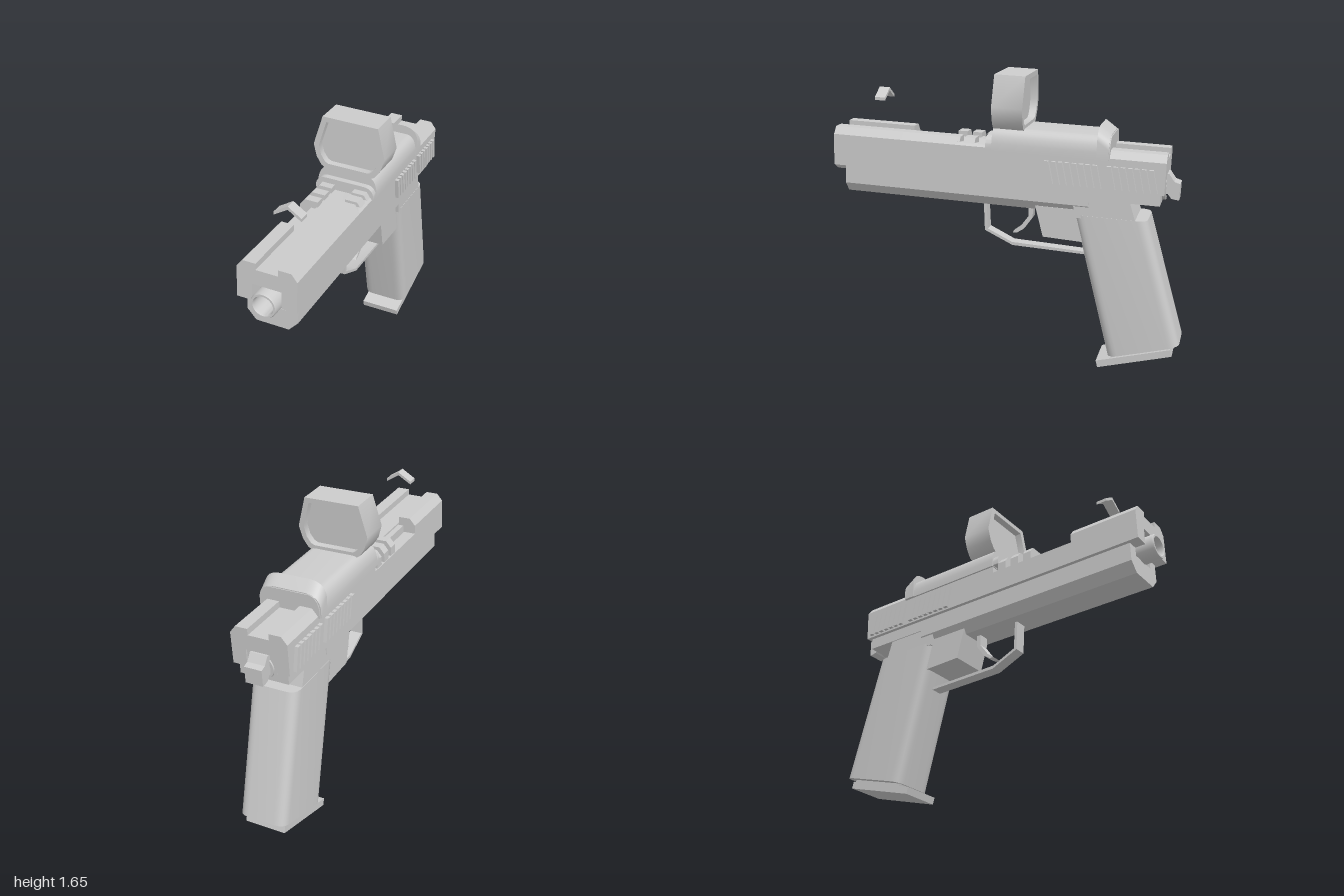
import * as THREE from 'three';
import { toCreasedNormals } from 'three/addons/utils/BufferGeometryUtils.js';

const material = new THREE.MeshStandardMaterial({ color: 0xcccccc });
const toShape = (pts) => new THREE.Shape(pts.map(([x, y]) => new THREE.Vector2(x, y)));
// right half of a symmetric outline, ordered bottom to top, mirrored into a closed one
const mirror = (half) => [...half, ...half.map(([x, y]) => [-x, y]).reverse()];

// cross-section (x, y) run along z from z0 to z1
function along(shape, z0, z1) {
  const s = Array.isArray(shape) ? toShape(shape) : shape;
  const g = new THREE.ExtrudeGeometry(s, { depth: z1 - z0, bevelEnabled: false, curveSegments: 8 });
  return g.translate(0, 0, z0);
}

// side profile (z, y) run across x from x0 to x1
function across(pts, x0, x1) {
  const g = new THREE.ExtrudeGeometry(toShape(pts), { depth: x1 - x0, bevelEnabled: false });
  return g.rotateY(-Math.PI / 2).translate(x1, 0, 0);
}

function roundedRect(hw, y0, y1, r) {
  const s = new THREE.Shape();
  s.moveTo(-hw + r, y0).lineTo(hw - r, y0).quadraticCurveTo(hw, y0, hw, y0 + r);
  s.lineTo(hw, y1 - r).quadraticCurveTo(hw, y1, hw - r, y1);
  s.lineTo(-hw + r, y1).quadraticCurveTo(-hw, y1, -hw, y1 - r);
  s.lineTo(-hw, y0 + r).quadraticCurveTo(-hw, y0, -hw + r, y0);
  return s;
}

function saddle(hw, bottom, shoulder, flat, top) {
  const s = new THREE.Shape();
  s.moveTo(-hw, bottom).lineTo(hw, bottom).lineTo(hw, shoulder);
  s.quadraticCurveTo(hw - 0.01, top, flat, top).lineTo(-flat, top);
  s.quadraticCurveTo(-hw + 0.01, top, -hw, shoulder).lineTo(-hw, bottom);
  return s;
}

export function createModel() {
  const model = new THREE.Group();
  const body = new THREE.Group();
  body.name = 'body';
  body.rotation.set(-0.045, 0.115, -0.025, 'YXZ');
  body.position.set(0.005, 1.2, 0);
  model.add(body);
  const add = (name, geometry) => {
    const mesh = new THREE.Mesh(toCreasedNormals(geometry, 0.6), material);
    mesh.name = name;
    body.add(mesh);
    return mesh;
  };

  // slide: grooved top, hollow underside, cut away on one side for the port
  const under = [[0.162, -0.125], [0.08, -0.125], [0.08, -0.03], [-0.08, -0.03], [-0.08, -0.125], [-0.162, -0.125]];
  const right = [[0.06, 0.055], [0.06, 0.09], [0.13, 0.09], [0.162, 0.05]];
  const left = [[-0.162, 0.05], [-0.13, 0.09], [-0.06, 0.09], [-0.06, 0.055]];
  const portLeft = [[-0.162, 0], [-0.06, 0], [-0.06, 0.055]];
  const lowRight = [[0.06, 0.055], [0.145, 0.066], [0.162, 0.05]];
  add('slideFront', along([...under, ...left, ...right], 0.56, 0.96));
  add('slidePort', along([...under, ...portLeft, ...right], 0.24, 0.56));
  add('slidePortRear', along([...under, ...portLeft, ...lowRight], 0.04, 0.24));
  add('slideRear', along([...under, ...left, ...right], -0.9, 0.04));
  add('slideBackPlate', new THREE.BoxGeometry(0.17, 0.12, 0.04).translate(0, -0.08, -0.87));

  // port ribs and the small lugs opposite them
  for (let i = 0; i < 3; i++) {
    const z = 0.1 + i * 0.085;
    add('portRib', along([[-0.158, 0], [-0.158, 0.05], [-0.13, 0.085], [-0.055, 0.085], [-0.055, 0]], z - 0.026, z + 0.026));
    add('lug', along([[0.06, 0.05], [0.06, 0.09], [0.13, 0.09], [0.158, 0.05]], z - 0.04, z + 0.022));
  }
  add('portBar', new THREE.BoxGeometry(0.035, 0.045, 0.26).translate(-0.075, 0.022, 0.42));

  // slanted grip serrations on both sides
  for (const s of [-1, 1]) {
    for (let i = 0; i < 16; i++) {
      if (i === 8) continue;
      const z = -0.262 - i * 0.0375;
      const bar = [[z + 0.012, 0.01], [z - 0.012, 0.01], [z - 0.042, -0.115], [z - 0.018, -0.115]];
      add('serration', across(bar, s > 0 ? 0.155 : -0.182, s > 0 ? 0.182 : -0.155));
    }
  }

  // barrel
  const tube = [[0.054, -0.9], [0.07, -0.9], [0.07, 0.99], [0.066, 1], [0.056, 1], [0.052, 0.99], [0.052, 0.6], [0, 0.6]];
  const barrel = new THREE.LatheGeometry(tube.map(([r, y]) => new THREE.Vector2(r, y)), 32);
  add('barrel', barrel.rotateX(Math.PI / 2).translate(0, -0.112, 0));

  // frame, tail and hammer
  const frame = mirror([[0.09, -0.285], [0.14, -0.23], [0.14, -0.125], [0.08, -0.125], [0.08, -0.175]]);
  add('frame', along(frame, -0.5, 0.9));
  add('frameTail', new THREE.BoxGeometry(0.28, 0.065, 0.4).translate(0, -0.1575, -0.68));
  add('gripNeck', across([[-0.4, -0.17], [-0.715, -0.17], [-0.76, -0.3], [-0.43, -0.3]], -0.135, 0.135));
  add('hammer', across([[-0.88, -0.03], [-0.91, -0.03], [-0.94, -0.07], [-0.972, -0.08], [-0.972, -0.17], [-0.93, -0.165], [-0.91, -0.14], [-0.88, -0.14]], -0.05, 0.05));

  // grip: rounded section swept down and back between a front and a rear line
  const grip = new THREE.ExtrudeGeometry(roundedRect(0.137, 0, 0.4, 0.06), { depth: 1, bevelEnabled: false, curveSegments: 6 });
  const p = grip.attributes.position;
  const lerp = THREE.MathUtils.lerp;
  for (let i = 0; i < p.count; i++) {
    const s = p.getY(i) / 0.4, t = p.getZ(i);
    const y = lerp(lerp(-1.09, -0.975, s), -0.284, t);
    const z = lerp(lerp(-0.652, -1.044, s), lerp(-0.418, -0.82, s), t);
    p.setXYZ(i, p.getX(i), y, z);
  }
  grip.computeVertexNormals();
  add('grip', grip);

  // magazine end
  const neck = add('magazine', new THREE.BoxGeometry(0.2, 0.1, 0.34));
  neck.position.set(0, -1.035, -0.83);
  const plate = add('magazinePlate', new THREE.BoxGeometry(0.235, 0.04, 0.425));
  plate.position.set(0, -1.085, -0.8);
  neck.rotation.x = plate.rotation.x = 0.29;

  // trigger group
  add('triggerHousing', across([[-0.2, -0.26], [-0.252, -0.433], [-0.48, -0.44], [-0.45, -0.26]], -0.115, 0.115));
  add('triggerGuard', across([
    [0.113, -0.27], [0.1, -0.455], [-0.064, -0.527], [-0.5, -0.535],
    [-0.5, -0.52], [-0.06, -0.509], [0.083, -0.445], [0.097, -0.27]], -0.035, 0.035));
  add('trigger', across([
    [-0.145, -0.27], [-0.148, -0.35], [-0.1, -0.42], [-0.06, -0.453],
    [-0.085, -0.453], [-0.125, -0.425], [-0.172, -0.355], [-0.172, -0.27]], -0.03, 0.03));

  // sight base wrapped over the slide, with a lower lip and a raised rear collar
  add('sightBase', along(saddle(0.172, 0.04, 0.08, 0.11, 0.162), -0.6, 0.045));
  add('sightLip', along(saddle(0.168, 0.045, 0.07, 0.11, 0.115), 0.04, 0.08));
  const collar = along(saddle(0.178, 0.04, 0.14, 0.08, 0.212), -0.595, -0.53);
  const c = collar.attributes.position;
  for (let i = 0; i < c.count; i++) {
    if (c.getZ(i) < -0.56 && c.getY(i) > 0.1) c.setY(i, c.getY(i) - 0.045);
  }
  collar.computeVertexNormals();
  add('sightCollar', collar);

  // sight housing, its window and the floating front chevron
  const rim = toShape(mirror([[0.12, 0.145], [0.155, 0.165], [0.185, 0.21], [0.205, 0.28], [0.158, 0.45]]));
  const opening = mirror([[0.115, 0.18], [0.135, 0.19], [0.16, 0.225], [0.174, 0.28], [0.135, 0.422]]);
  rim.holes.push(new THREE.Path(opening.map(([x, y]) => new THREE.Vector2(x, y))));
  add('sightHousing', along(rim, -0.125, 0.045));
  add('sightWindow', along(opening, -0.085, 0.005));
  add('chevron', along([[-0.075, 0.245], [0, 0.292], [0.075, 0.245], [0.075, 0.262], [0, 0.31], [-0.075, 0.262]], 0.69, 0.75));

  return model;
}
